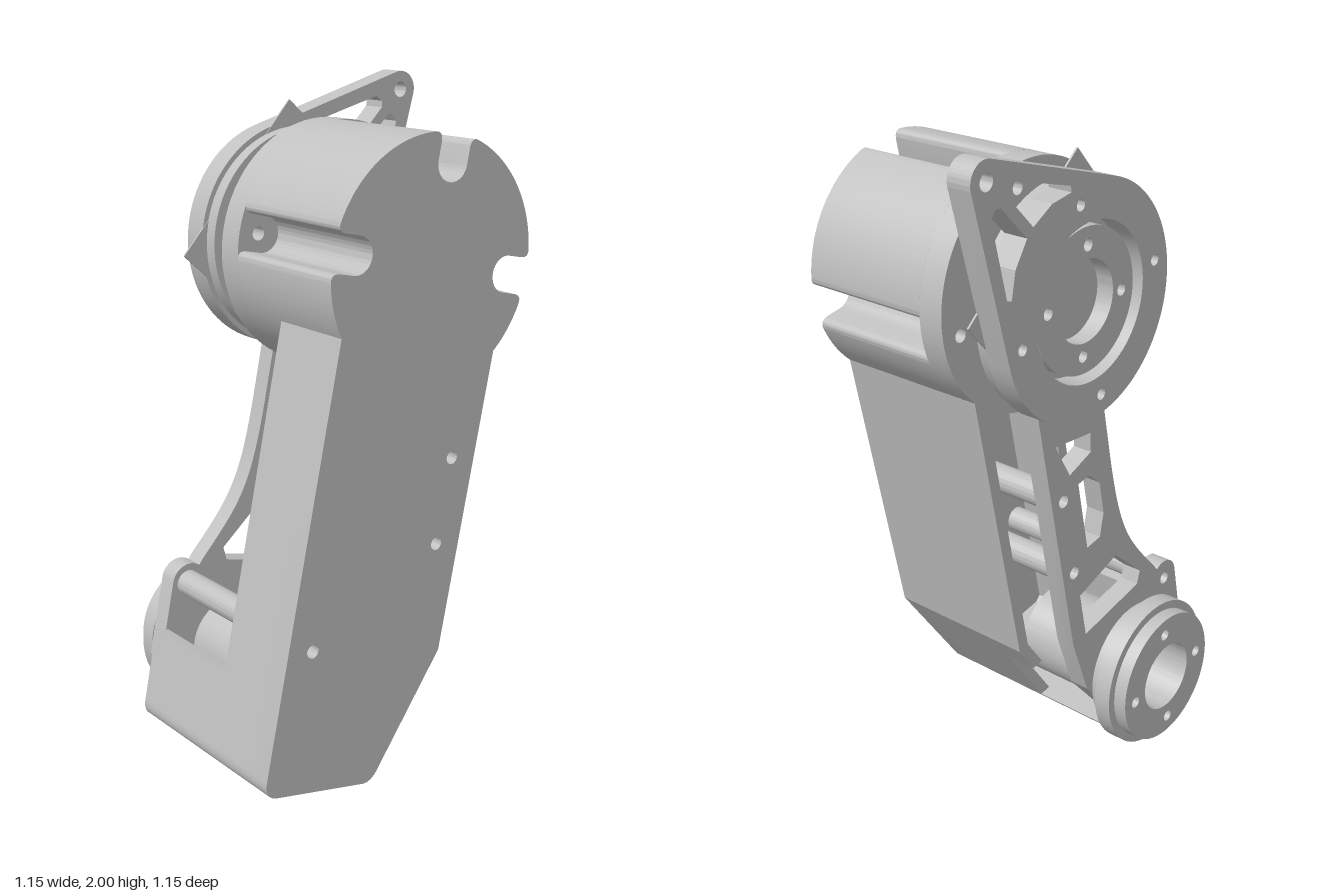
import * as THREE from 'three';
import { toCreasedNormals } from 'three/addons/utils/BufferGeometryUtils.js';

const TILT = THREE.MathUtils.degToRad(12);
const HEAD_R = 0.366;
const HALF_W = 0.289;   // half width of the long shell
const BOTTOM = -1.543;
const LOWER_Y = -1.305; // lower joint axis, measured from the upper joint axis

export function createModel() {
  const grey = new THREE.MeshStandardMaterial({ color: 0xc0c0c0 });
  grey.name = 'machined grey';

  // Upper joint axis is the origin of the arm; the arm leans and is turned to one side.
  const arm = new THREE.Group();
  arm.name = 'armLink';
  arm.position.set(0.09, 1.525, 0);
  arm.rotation.z = -TILT;

  const extrude = (name, shape, z0, z1) => {
    const g = new THREE.ExtrudeGeometry(shape, { depth: z1 - z0, bevelEnabled: false, curveSegments: 40 });
    g.translate(0, 0, z0);
    const mesh = new THREE.Mesh(toCreasedNormals(g, 0.3), grey);
    mesh.name = name;
    arm.add(mesh);
    return mesh;
  };
  const vectors = (pts) => pts.map(([x, y]) => new THREE.Vector2(x, y));
  const polygon = (pts) => new THREE.Shape(vectors(pts));
  const windowCut = (shape, pts) => shape.holes.push(new THREE.Path(vectors(pts)));
  const hole = (shape, x, y, r) => {
    const p = new THREE.Path();
    p.absarc(x, y, r, 0, Math.PI * 2, true);
    shape.holes.push(p);
  };
  const disc = (x, y, r, inner = 0) => {
    const s = new THREE.Shape();
    s.absarc(x, y, r, 0, Math.PI * 2, false);
    if (inner) hole(s, x, y, inner);
    return s;
  };
  const boltCircle = (shape, y, radius, r, start) => {
    for (let i = 0; i < 4; i++) {
      const a = start + i * Math.PI / 2;
      hole(shape, radius * Math.cos(a), y + radius * Math.sin(a), r);
    }
  };
  // Round head edge with three open slots whose mouths are rounded over
  const headEdge = (s, a0, a1) => {
    const h = 0.054, d = Math.asin(h / HEAD_R), f = d + 0.07;
    const at = (radius, a) => [radius * Math.cos(a), radius * Math.sin(a)];
    const side = (a, u, v) => [u * Math.cos(a) - v * Math.sin(a), u * Math.sin(a) + v * Math.cos(a)];
    let from = a0;
    for (const a of [0, Math.PI / 2, Math.PI]) {
      s.absarc(0, 0, HEAD_R, from, a - f, false);
      s.quadraticCurveTo(...at(HEAD_R, a - d), ...side(a, 0.33, -h));
      s.absarc(...at(0.284, a), h, a - Math.PI / 2, a + Math.PI / 2, true);
      s.lineTo(...side(a, 0.33, h));
      s.quadraticCurveTo(...at(HEAD_R, a + d), ...at(HEAD_R, a + f));
      from = a + f;
    }
    s.absarc(0, 0, HEAD_R, from, a1, false);
  };
  // Rounded lower edge of the shell, from the right side to the slanted side
  const lowerEdge = (s) => {
    s.moveTo(-HALF_W, -1.49);
    s.quadraticCurveTo(-HALF_W, BOTTOM, -0.24, BOTTOM);
    s.lineTo(0.075, BOTTOM);
    s.quadraticCurveTo(0.108, BOTTOM, 0.125, -1.505);
  };

  const posts = [[0.2, -0.546], [0.2, -0.806], [-0.203, -1.11]];

  // Front cover: long body and slotted round head in one outline
  const cover = new THREE.Shape();
  const join = Math.asin(HALF_W / HEAD_R);
  lowerEdge(cover);
  cover.lineTo(HALF_W, -1.14);
  cover.lineTo(HALF_W, -HEAD_R * Math.cos(join));
  headEdge(cover, -Math.PI / 2 + join, Math.PI * 1.5 - join);
  cover.closePath();
  posts.forEach(([x, y]) => hole(cover, x, y, 0.02));
  extrude('frontCover', cover, 0.3, 0.37);

  // Head block and its unslotted back plate
  const head = new THREE.Shape();
  headEdge(head, -Math.PI / 2, Math.PI * 1.5);
  extrude('head', head, -0.055, 0.3);
  const headBack = disc(0, 0, HEAD_R);
  [0, 1, 2].forEach((i) => hole(headBack, 0.3 * Math.cos(i * Math.PI / 2), 0.3 * Math.sin(i * Math.PI / 2), 0.02));
  extrude('headBackPlate', headBack, -0.135, -0.055);

  // Shell walls around the open back
  const sideWall = (name, x0, x1, y0, y1, z0, z1) =>
    extrude(name, polygon([[x0, y0], [x1, y0], [x1, y1], [x0, y1]]), z0, z1);
  sideWall('leftSideWall', 0.25, HALF_W, -1.14, -0.2246, -0.13, 0.3);
  sideWall('rightSideWall', -HALF_W, -0.252, -1.49, -0.2246, 0.1, 0.3);
  sideWall('rightRearWall', -HALF_W, -0.252, -1.49, -1.26, -0.275, 0.1);
  const slantWall = (name, t0, t1, z0) => {
    const at = (t, off) => [0.125 + (HALF_W - 0.125) * t - off, -1.505 + 0.365 * t];
    extrude(name, polygon([at(t0, 0), at(t1, 0), at(t1, 0.04), at(t0, 0.04)]), z0, 0.3);
  };
  slantWall('slantWallUpper', 0.72, 1, -0.13);
  slantWall('slantWallLower', 0, 0.72, -0.02);
  const floor = new THREE.Shape();
  lowerEdge(floor);
  floor.lineTo(-0.23, -1.505);
  floor.lineTo(-0.252, -1.49);
  floor.closePath();
  extrude('bottomWall', floor, -0.275, 0.3);

  // Posts joining the shell to the rear truss
  posts.forEach(([x, y]) => extrude('post', disc(x, y, 0.04), -0.264, 0.3));

  // Rear disc of the upper joint
  extrude('upperDisc', disc(0, 0, 0.33), -0.27, -0.226);

  // Rear truss: narrow upper part and wide lower end
  const truss = new THREE.Shape();
  truss.moveTo(0.25, -0.2155);
  truss.lineTo(-0.02, -0.33);
  truss.lineTo(-0.02, -0.5);
  truss.bezierCurveTo(-0.02, -0.8, -0.05, -0.85, -0.16, -1.03);
  truss.absarc(-0.2, -1.108, 0.06, 1.1, Math.PI, false);
  truss.lineTo(-0.26, -1.36);
  truss.lineTo(-0.18, -1.46);
  truss.lineTo(0.1, -1.46);
  truss.lineTo(0.22, -1.25);
  truss.lineTo(0.25, -1.05);
  truss.closePath();
  windowCut(truss, [[0.2, -0.36], [0.05, -0.4], [0.06, -0.46], [0.16, -0.48]]);
  windowCut(truss, [[0.13, -0.53], [0.08, -0.53], [0.04, -0.58], [0.04, -0.69], [0.07, -0.76], [0.13, -0.76]]);
  windowCut(truss, [[0.19, -0.9], [0.01, -0.87], [-0.09, -1.0], [-0.07, -1.04], [0.19, -1.05]]);
  posts.forEach(([x, y]) => hole(truss, x, y, 0.02));
  hole(truss, 0, LOWER_Y, 0.11);
  extrude('rearTruss', truss, -0.325, -0.263);

  // Lower joint: hollow motor, neck, flange and bolted ring
  extrude('lowerMotor', disc(0, LOWER_Y, 0.145, 0.11), -0.263, 0);
  extrude('lowerNeck', disc(0, LOWER_Y, 0.2, 0.11), -0.364, -0.325);
  extrude('lowerFlange', disc(0, LOWER_Y, 0.236, 0.11), -0.418, -0.364);
  const ring = disc(0, LOWER_Y, 0.21, 0.11);
  boltCircle(ring, LOWER_Y, 0.158, 0.018, 0.1);
  extrude('lowerRing', ring, -0.46, -0.418);

  // Upper bracket: teardrop plate with two windows beside a central rib
  const tip = 0.59, R = 0.345, r = 0.057, lean = THREE.MathUtils.degToRad(57);
  const al = Math.acos((R - r) / tip);
  const bracket = new THREE.Shape();
  bracket.absarc(0, 0, R, al, Math.PI * 2 - al, false);
  bracket.absarc(tip, 0, r, -al, al, false);
  bracket.closePath();
  hole(bracket, 0, 0, 0.23);
  hole(bracket, tip, 0, 0.024);
  boltCircle(bracket, 0, 0.288, 0.017, 0.6);
  for (const s of [-1, 1]) {
    windowCut(bracket, [[0.36, 0.017 * s], [0.5, 0.017 * s], [0.515, 0.03 * s], [0.51, 0.058 * s], [0.31, 0.175 * s], [0.295, 0.165 * s], [0.34, 0.1 * s]]);
  }
  extrude('upperBracket', bracket, -0.345, -0.268).rotation.z = lean;

  // Bolted ring sunk in the bracket bore
  const hub = disc(0, 0, 0.21, 0.12);
  boltCircle(hub, 0, 0.158, 0.018, 0.25);
  extrude('upperHubRing', hub, -0.325, -0.27);

  // Thin pointed tabs around the upper joint
  [15, 105, 195].forEach((deg) => {
    const tab = extrude('pointedTab', polygon([[0.31, -0.1], [0.41, 0], [0.31, 0.1]]), -0.272, -0.266);
    tab.rotation.z = THREE.MathUtils.degToRad(deg);
  });

  const model = new THREE.Group();
  model.name = 'roboticArmLink';
  model.add(arm);
  model.rotation.y = Math.PI / 6;
  const root = new THREE.Group();
  root.add(model);
  return root;
}
